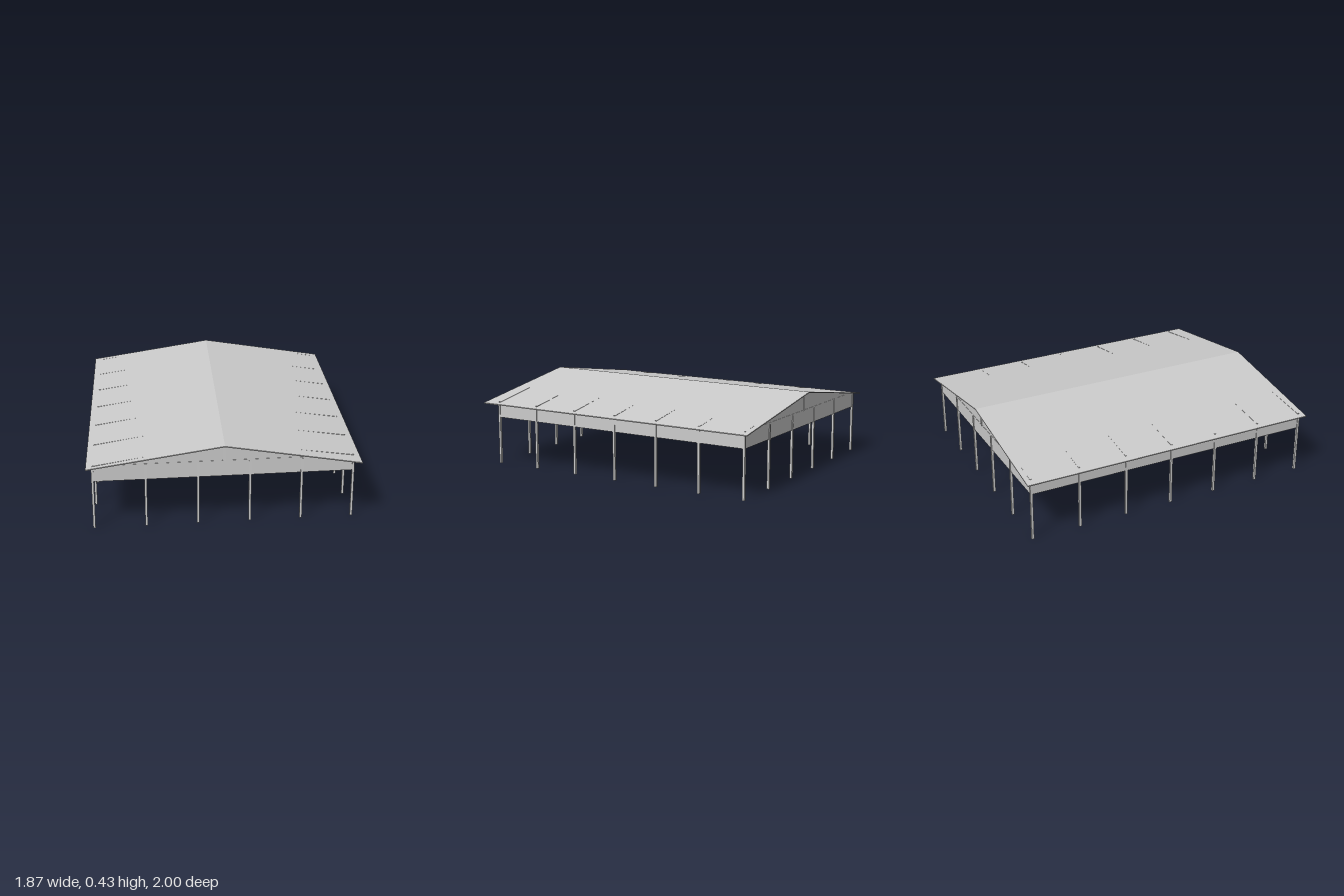
import * as THREE from 'three';

const material = new THREE.MeshStandardMaterial({ color: 0xcccccc, flatShading: true, side: THREE.DoubleSide });
const TURN = -THREE.MathUtils.degToRad(24);
const BAND_LOW = 0.25, BAND_TOP = 0.325, RIDGE = 0.43;
const HALF_W = 0.67, HALF_L = 0.796, ROOF_T = 0.005;

function add(parent, geometry, name) {
  const mesh = new THREE.Mesh(geometry, material);
  mesh.name = name;
  parent.add(mesh);
  return mesh;
}

// square timber between two points
function beam(parent, a, b, width, height, name) {
  const mesh = add(parent, new THREE.BoxGeometry(width, height, a.distanceTo(b)), name);
  mesh.position.lerpVectors(a, b, 0.5);
  mesh.lookAt(b);
  return mesh;
}

// thin upright panel from p to q; outline is [fraction along, height]
function panel(parent, p, q, outline, thickness, name) {
  const length = p.distanceTo(q);
  const shape = new THREE.Shape(outline.map(([t, y]) => new THREE.Vector2(t * length, y)));
  const geometry = new THREE.ExtrudeGeometry(shape, { depth: thickness, bevelEnabled: false });
  geometry.translate(0, 0, -thickness / 2);
  const mesh = add(parent, geometry, name);
  mesh.position.copy(p);
  mesh.rotation.y = Math.atan2(-(q.z - p.z), q.x - p.x);
}

export function createModel() {
  const model = new THREE.Group();
  model.name = 'pavilion';

  // ground corners of the post grid
  const frontLeft = new THREE.Vector3(0.295, 0, 0.91);
  const frontRight = new THREE.Vector3(-0.895, 0, 0.44);
  const backLeft = new THREE.Vector3(0.885, 0, -0.44);
  const backRight = new THREE.Vector3(-0.265, 0, -0.955);
  const at = (p, y) => new THREE.Vector3(p.x, y, p.z);

  // posts around the edge: seven along each side, four more on each end
  const posts = new THREE.Group();
  posts.name = 'posts';
  model.add(posts);
  const post = (p) => {
    const mesh = add(posts, new THREE.BoxGeometry(0.012, BAND_TOP, 0.012), 'post');
    mesh.position.copy(at(p, BAND_TOP / 2));
    mesh.rotation.y = TURN;
  };
  const along = (p, q, t) => new THREE.Vector3().lerpVectors(p, q, t);
  for (let i = 0; i <= 6; i++) {
    post(along(frontLeft, backLeft, i / 6));
    post(along(frontRight, backRight, i / 6));
  }
  for (let i = 1; i < 5; i++) {
    post(along(frontLeft, frontRight, i / 5));
    post(along(backLeft, backRight, i / 5));
  }

  // fascia band on all four sides
  const band = [[0, BAND_LOW], [1, BAND_LOW], [1, BAND_TOP], [0, BAND_TOP]];
  const corners = [frontLeft, backLeft, backRight, frontRight];
  corners.forEach((p, i) => panel(model, p, corners[(i + 1) % 4], band, 0.006, 'fasciaBand'));

  // gable walls above the end bands
  const gable = [[0, BAND_TOP - 0.002], [1, BAND_TOP - 0.002], [0.5, RIDGE - ROOF_T - 0.002]];
  panel(model, frontRight, frontLeft, gable, 0.006, 'frontGable');
  panel(model, backRight, backLeft, gable, 0.006, 'backGable');

  // a roof truss over each pair of side posts
  for (let i = 0; i <= 6; i++) {
    const truss = new THREE.Group();
    truss.name = 'truss';
    model.add(truss);
    const l = along(frontLeft, backLeft, i / 6);
    const r = along(frontRight, backRight, i / 6);
    const mid = along(l, r, 0.5);
    beam(truss, at(l, 0.325), at(mid, 0.42), 0.009, 0.014, 'topChord');
    beam(truss, at(r, 0.325), at(mid, 0.42), 0.009, 0.014, 'topChord');
    beam(truss, at(l, 0.328), at(r, 0.328), 0.009, 0.01, 'bottomChord');
    const king = add(truss, new THREE.BoxGeometry(0.012, 0.09, 0.012), 'kingPost');
    king.position.copy(at(mid, 0.374));
    king.rotation.y = TURN;
  }

  // low gable roof with a thin edge
  const section = new THREE.Shape([
    [-HALF_W, BAND_TOP], [0, RIDGE], [HALF_W, BAND_TOP],
    [HALF_W, BAND_TOP - ROOF_T], [0, RIDGE - ROOF_T], [-HALF_W, BAND_TOP - ROOF_T],
  ].map(([x, y]) => new THREE.Vector2(x, y)));
  const roofGeometry = new THREE.ExtrudeGeometry(section, { depth: 2 * HALF_L, bevelEnabled: false });
  roofGeometry.translate(0, 0, -HALF_L);
  add(model, roofGeometry, 'roof').rotation.y = TURN;

  return model;
}
